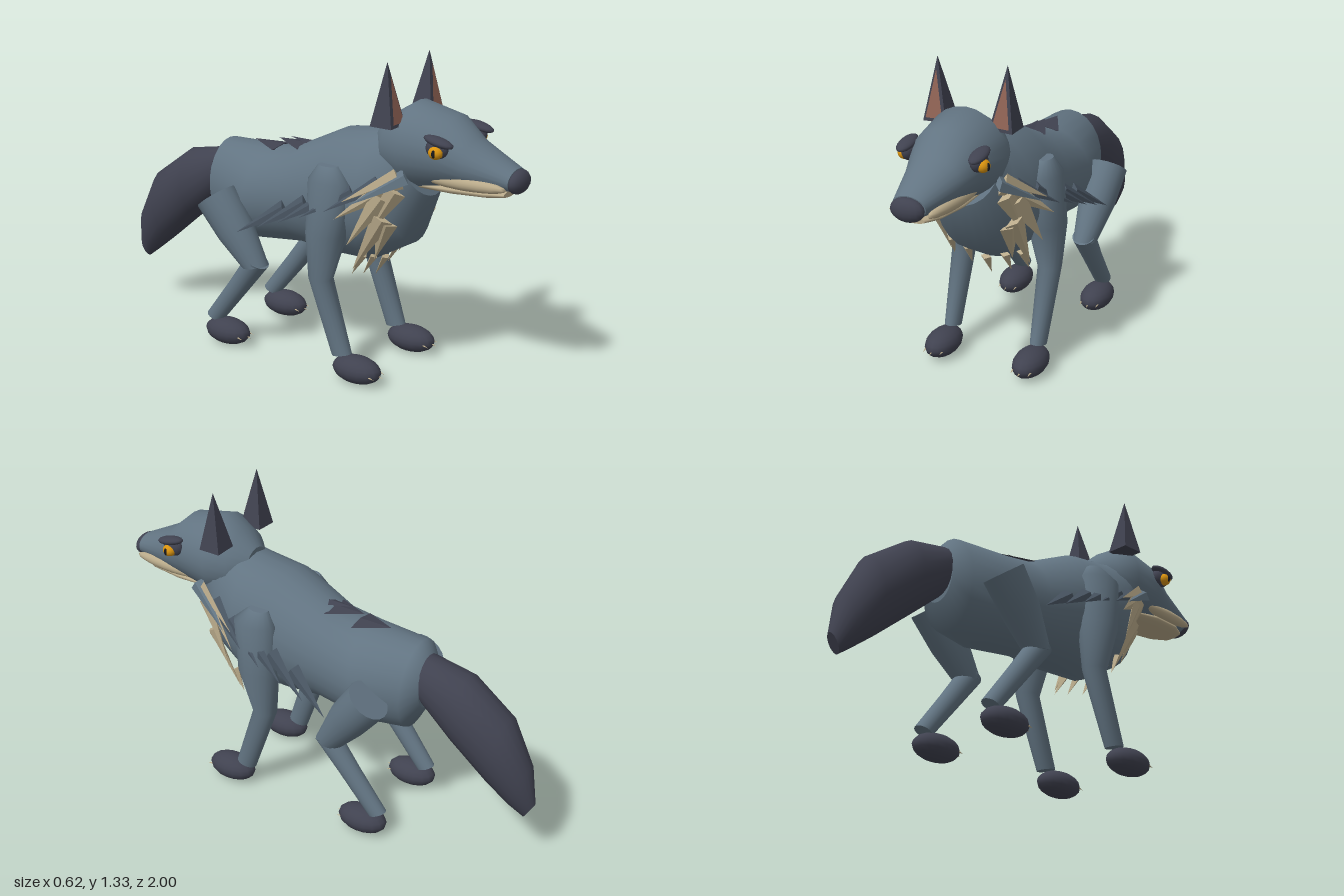
import * as THREE from 'three';

const mat = (name, color) => {
  const m = new THREE.MeshStandardMaterial({ color });
  m.name = name;
  return m;
};

export function createModel() {
  const slate = mat('slate fur', 0x627482);
  const dark = mat('dark fur', 0x404250);
  const mane = mat('dark slate tufts', 0x475360);
  const cream = mat('cream', 0xb9aa8a);
  const pink = mat('inner ear', 0x8f6254);
  const amber = mat('amber', 0xd9930f);
  const black = mat('pupil black', 0x17181c);
  pink.side = THREE.DoubleSide;

  const model = new THREE.Group();
  model.name = 'wildCanine';
  const add = (name, geometry, material, parent = model) => {
    const mesh = new THREE.Mesh(geometry, material);
    mesh.name = name;
    parent.add(mesh);
    return mesh;
  };

  // Skin over elliptical rings: [y1, z1, y2, z2, halfWidth, centreX]
  const loft = (rings, n = 18) => {
    const pos = [], idx = [];
    const ringPoints = ([y1, z1, y2, z2, w, cx = 0]) => {
      for (let i = 0; i < n; i++) {
        const a = (i / n) * Math.PI * 2, c = Math.cos(a) / 2;
        pos.push(cx + w * Math.sin(a), (y1 + y2) / 2 + (y1 - y2) * c, (z1 + z2) / 2 + (z1 - z2) * c);
      }
    };
    rings.forEach(ringPoints);
    for (let r = 0; r < rings.length - 1; r++) {
      for (let i = 0; i < n; i++) {
        const a = r * n + i, b = r * n + (i + 1) % n;
        idx.push(a, b, a + n, b, b + n, a + n);
      }
    }
    // Flat end caps
    [rings[0], rings[rings.length - 1]].forEach((ring, end) => {
      const s = pos.length / 3;
      ringPoints(ring);
      for (let i = 1; i < n - 1; i++) idx.push(s, ...(end ? [s + i, s + i + 1] : [s + i + 1, s + i]));
    });
    // Turn the faces outward whichever way the rings run
    let volume = 0;
    const v = (i) => new THREE.Vector3().fromArray(pos, i * 3);
    for (let i = 0; i < idx.length; i += 3) volume += v(idx[i]).dot(v(idx[i + 1]).cross(v(idx[i + 2])));
    if (volume < 0) idx.reverse();
    const g = new THREE.BufferGeometry();
    g.setAttribute('position', new THREE.Float32BufferAttribute(pos, 3));
    g.setIndex(idx);
    g.computeVertexNormals();
    return g;
  };

  const ellipsoid = (name, p, r, material, parent) => {
    const mesh = add(name, new THREE.SphereGeometry(1, 16, 10), material, parent);
    mesh.position.set(...p);
    mesh.scale.set(...r);
    return mesh;
  };

  const faceted = (g) => {
    const f = g.toNonIndexed();
    f.computeVertexNormals();
    return f;
  };

  // Flattened four-sided tuft from base to tip, its flat side facing "out"
  const spike = (name, base, tip, w, t, out, material, parent) => {
    const b = new THREE.Vector3(...base), e = new THREE.Vector3(...tip);
    const dir = e.clone().sub(b), len = dir.length();
    dir.normalize();
    const side = dir.clone().cross(new THREE.Vector3(...out)).normalize();
    const normal = side.clone().cross(dir);
    const g = new THREE.ConeGeometry(1, 1, 4).scale(w, len, t);
    g.applyMatrix4(new THREE.Matrix4().makeBasis(side, dir, normal).setPosition(b.lerp(e, 0.5)));
    return add(name, faceted(g), material, parent);
  };

  // Torso running forward into chest and neck
  add('torso', loft([
    [0.80, -0.50, 0.58, -0.49, 0.09], [0.87, -0.45, 0.47, -0.43, 0.155], [0.875, -0.20, 0.455, -0.27, 0.2],
    [0.90, -0.06, 0.485, -0.02, 0.185], [1.015, 0.18, 0.475, 0.14, 0.22], [1.04, 0.36, 0.48, 0.33, 0.215],
    [1.06, 0.41, 0.59, 0.52, 0.175], [1.06, 0.45, 0.80, 0.60, 0.14],
  ], 24), slate);

  add('tail', loft([
    [0.82, -0.49, 0.60, -0.49, 0.09], [0.785, -0.67, 0.475, -0.635, 0.118], [0.65, -0.86, 0.335, -0.80, 0.11],
    [0.455, -0.965, 0.26, -0.895, 0.075], [0.29, -1.0, 0.215, -0.955, 0.025],
  ]), dark);

  // Head, jaw and nose
  const head = new THREE.Group();
  head.name = 'head';
  model.add(head);
  add('skull', loft([
    [1.06, 0.36, 0.92, 0.36, 0.07], [1.12, 0.43, 0.85, 0.42, 0.14], [1.175, 0.52, 0.82, 0.52, 0.172],
    [1.14, 0.69, 0.845, 0.66, 0.152], [1.06, 0.78, 0.86, 0.78, 0.118], [0.97, 0.96, 0.88, 0.95, 0.07],
  ], 24), slate, head);
  add('lowerJaw', loft([
    [0.87, 0.55, 0.832, 0.55, 0.08], [0.89, 0.72, 0.836, 0.72, 0.1],
    [0.89, 0.86, 0.845, 0.86, 0.085], [0.88, 0.93, 0.855, 0.93, 0.05],
  ]), cream, head);
  ellipsoid('nose', [0, 0.92, 0.965], [0.07, 0.047, 0.035], dark, head);

  for (const s of [1, -1]) {
    const side = s > 0 ? 'left' : 'right';

    // Lips
    const lip = ellipsoid(side + 'Lip', [0.09 * s, 0.9, 0.78], [0.026, 0.027, 0.175], cream, head);
    lip.rotation.y = -0.07 * s;

    // Eyes with dark sockets and slanted brows
    ellipsoid(side + 'EyeSocket', [0.145 * s, 1.035, 0.69], [0.03, 0.04, 0.048], dark, head);
    const brow = ellipsoid(side + 'Brow', [0.152 * s, 1.064, 0.7], [0.032, 0.018, 0.065], dark, head);
    brow.rotation.x = 0.2;
    ellipsoid(side + 'Eye', [0.166 * s, 1.024, 0.697], [0.026, 0.026, 0.03], amber, head);
    ellipsoid(side + 'Pupil', [0.188 * s, 1.024, 0.7], [0.007, 0.016, 0.008], black, head);

    // Ears: pyramids with a coloured front face
    const ear = new THREE.ConeGeometry(0.07, 0.25, 4).rotateY(Math.PI / 4).translate(0, 0.125, 0);
    const earMesh = add(side + 'Ear', faceted(ear), dark, head);
    earMesh.position.set(0.142 * s, 1.09, 0.462);
    earMesh.rotation.z = -0.03 * s;
    const inner = new THREE.BufferGeometry().setFromPoints([
      new THREE.Vector3(-0.036, 0.015, 0.053), new THREE.Vector3(0.036, 0.015, 0.053), new THREE.Vector3(0, 0.2, 0.016),
    ]);
    inner.computeVertexNormals();
    add(side + 'InnerEar', inner, pink, earMesh);

    // Legs
    add(side + 'FrontLeg', loft([
      [0.90, 0.26, 0.90, 0.17, 0.03, 0.19 * s], [0.84, 0.33, 0.84, 0.13, 0.07, 0.195 * s],
      [0.62, 0.305, 0.62, 0.125, 0.08, 0.2 * s], [0.42, 0.24, 0.42, 0.135, 0.05, 0.2 * s],
      [0.12, 0.34, 0.10, 0.25, 0.033, 0.2 * s],
    ]), slate);
    add(side + 'Thigh', loft([
      [0.73, -0.27, 0.62, -0.42, 0.085, 0.225 * s], [0.60, -0.18, 0.49, -0.31, 0.078, 0.22 * s],
      [0.41, -0.09, 0.385, -0.205, 0.05, 0.21 * s],
    ]), slate);
    add(side + 'HindShin', loft([
      [0.45, -0.18, 0.40, -0.09, 0.05, 0.21 * s], [0.30, -0.29, 0.27, -0.2, 0.04, 0.205 * s],
      [0.13, -0.42, 0.10, -0.345, 0.035, 0.2 * s],
    ]), slate);

    // Paws with three claws each
    for (const [pair, z] of [['Front', 0.372], ['Hind', -0.312]]) {
      const paw = ellipsoid(side + pair + 'Paw', [0.203 * s, 0.064, z], [0.068, 0.057, 0.112], dark);
      paw.name = side + pair + 'Paw';
      for (const i of [-1, 0, 1]) {
        const x = 0.203 * s + i * 0.038, f = z + 0.1 - Math.abs(i) * 0.018;
        spike(side + pair + 'Claw', [x, 0.064, f - 0.01], [x, 0.055, f + 0.028], 0.007, 0.007, [0, 1, 0], cream);
      }
    }

    // Sweeping shoulder tufts along the flank
    for (let i = 0; i < 6; i++) {
      const z = 0.56 - i * 0.108, y = 0.905 - i * 0.042, x = Math.min(0.16 + i * 0.025, 0.23);
      spike(side + 'FlankTuft', [x * s, y, z], [Math.min(x + 0.09, 0.295) * s, y - 0.13, z - 0.2],
        0.035, 0.016, [s, 0.5, 0], i < 1 ? slate : mane);
    }

    // Cream ruff beside the chest
    const ruff = [
      [[0.16, 0.89, 0.53], [0.25, 0.78, 0.32]], [[0.17, 0.86, 0.50], [0.27, 0.71, 0.30]],
      [[0.19, 0.81, 0.47], [0.24, 0.60, 0.34]], [[0.17, 0.84, 0.52], [0.19, 0.66, 0.42]],
      [[0.18, 0.72, 0.47], [0.18, 0.48, 0.33]], [[0.165, 0.70, 0.48], [0.14, 0.53, 0.41]],
    ];
    for (const [b, t] of ruff) {
      spike(side + 'RuffTuft', [b[0] * s, b[1], b[2]], [t[0] * s, t[1], t[2]], 0.045, 0.018, [s, 0, 0.7], cream);
    }
  }

  // Tufts under the chest
  for (const x of [-0.17, -0.09, 0, 0.09, 0.17]) {
    const lift = Math.abs(x) * 0.3;
    spike('chestTuft', [x * 0.95, 0.495 + lift, 0.37], [x, 0.405 + lift, 0.32], 0.024, 0.016, [0, 0, 1], cream);
  }

  // Tufts along the spine, pointing back
  [[0.01, 0.925, 0.035, 0.13], [-0.03, 0.91, 0.075, 0.15], [-0.16, 0.885, 0.075, 0.15]].forEach(([z, y, w, len]) => {
    spike('spineTuft', [0, y - 0.012, z], [0, y, z - len], w, 0.013, [0, 1, 0], dark);
  });

  return model;
}
